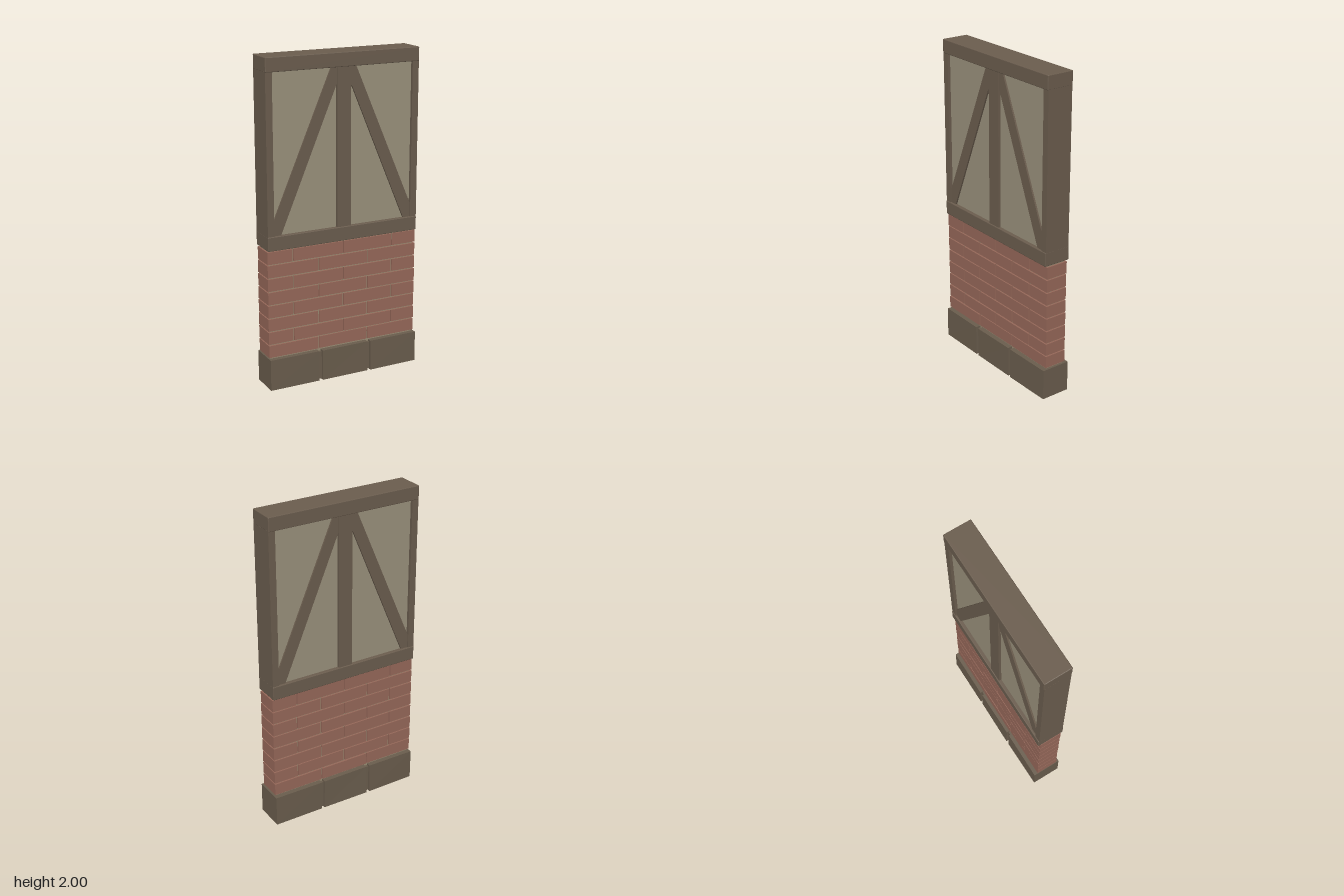
import * as THREE from 'three';
import { RoundedBoxGeometry } from 'three/addons/geometries/RoundedBoxGeometry.js';

const mat = (name, color, flatShading = true) => {
  const m = new THREE.MeshStandardMaterial({ color, flatShading });
  m.name = name;
  return m;
};

export function createModel() {
  const timber = mat('timber brown', 0x6b5d4e);
  const stone = mat('stone brown', 0x6a5d4d);
  const plaster = mat('plaster beige', 0x9a917c);
  const brick = mat('brick red', 0x966859);
  const mortar = mat('mortar tan', 0x9a8d74);

  const model = new THREE.Group();
  model.name = 'timberFrameWall';
  const cx = -0.0025; // the wall sits a hair off the stone base

  // Box given by its limits; a chamfer above zero trims the edges
  const block = (parent, name, material, [x0, x1], [y0, y1], [z0, z1], chamfer = 0) => {
    const size = [x1 - x0, y1 - y0, z1 - z0];
    const geo = chamfer
      ? new RoundedBoxGeometry(...size, 1, chamfer)
      : new THREE.BoxGeometry(...size);
    const mesh = new THREE.Mesh(geo, material);
    mesh.position.set((x0 + x1) / 2, (y0 + y1) / 2, (z0 + z1) / 2);
    mesh.name = name;
    parent.add(mesh);
    return mesh;
  };
  const group = (name) => {
    const g = new THREE.Group();
    g.name = name;
    model.add(g);
    return g;
  };

  // Small seeded random for hand-laid unevenness
  let seed = 7;
  const jitter = (amount) => {
    seed = (seed * 16807) % 2147483647;
    return (seed / 2147483647 - 0.5) * 2 * amount;
  };

  // Stone base: three rough blocks around a recessed core
  const base = group('stoneBase');
  block(base, 'baseCore', stone, [-0.48, 0.475], [0.005, 0.183], [-0.08, 0.08]);
  [[-0.5, -0.178], [-0.158, 0.157], [0.175, 0.5]].forEach((xs) => {
    const mesh = block(base, 'baseStone', stone, xs, [0, 0.194], [-0.094, 0.094]);
    const p = mesh.geometry.attributes.position;
    // Shift each corner by a fixed small amount, shared by its three faces
    const shift = Array.from({ length: 8 }, () => [jitter(0.004), jitter(0.004)]);
    for (let i = 0; i < p.count; i++) {
      const k = (p.getX(i) > 0 ? 1 : 0) + (p.getY(i) > 0 ? 2 : 0) + (p.getZ(i) > 0 ? 4 : 0);
      const inner = Math.abs(mesh.position.x + p.getX(i)) < 0.4;
      if (inner) p.setX(i, p.getX(i) + shift[k][0]);
      p.setZ(i, p.getZ(i) + shift[k][1] * 0.7);
    }
  });

  // Brickwork: eight courses in running bond over a mortar core
  const bricks = group('brickwork');
  block(bricks, 'mortarCore', mortar, [cx - 0.487, cx + 0.487], [0.18, 0.88], [-0.062, 0.062]);
  const pitch = 0.0836, gap = 0.004;
  for (let row = 0; row < 8; row++) {
    const y = 0.2 + row * pitch;
    const cuts = row % 2 ? [-0.497, -0.333, 0, 0.333, 0.497] : [-0.497, -0.166, 0.166, 0.497];
    for (let i = 0; i < cuts.length - 1; i++) {
      const x0 = cx + cuts[i] + (i ? gap : 0);
      const x1 = cx + cuts[i + 1] - (i < cuts.length - 2 ? gap : 0);
      const dz = jitter(0.002);
      block(bricks, 'brick', brick, [x0, x1], [y + gap, y + pitch - gap], [-0.072 + dz, 0.072 + dz]);
    }
  }

  // Horizontal beams
  const frame = group('timberFrame');
  const span = [cx - 0.4965, cx + 0.4965];
  block(frame, 'lowerBeam', timber, span, [0.873, 0.96], [-0.087, 0.087], 0.004);
  block(frame, 'upperBeam', timber, span, [1.915, 2], [-0.087, 0.087], 0.004);

  // Plaster infill
  block(model, 'plasterPanel', plaster, [cx - 0.48, cx + 0.48], [0.95, 1.925], [-0.065, 0.065]);

  // Posts
  for (const s of [-1, 1]) {
    const xs = [cx + s * 0.4965, cx + s * 0.455].sort((a, b) => a - b);
    block(frame, s < 0 ? 'rightPost' : 'leftPost', timber, xs, [0.957, 1.918], [-0.083, 0.083]);
  }
  block(frame, 'centrePost', timber, [cx - 0.045, cx + 0.045], [0.957, 1.918], [-0.081, 0.081]);

  // Diagonal braces, trimmed against posts and beams
  for (const s of [-1, 1]) {
    const pts = [[0.458, 0.957], [0.41, 0.957], [0.043, 1.825], [0.043, 1.918], [0.08, 1.918], [0.458, 1.04]];
    const shape = new THREE.Shape(pts.map(([x, y]) => new THREE.Vector2(s * x, y)));
    const geo = new THREE.ExtrudeGeometry(shape, { depth: 0.15, bevelEnabled: false });
    const brace = new THREE.Mesh(geo, timber);
    brace.position.set(cx, 0, -0.075);
    brace.name = s < 0 ? 'rightBrace' : 'leftBrace';
    frame.add(brace);
  }

  return model;
}
